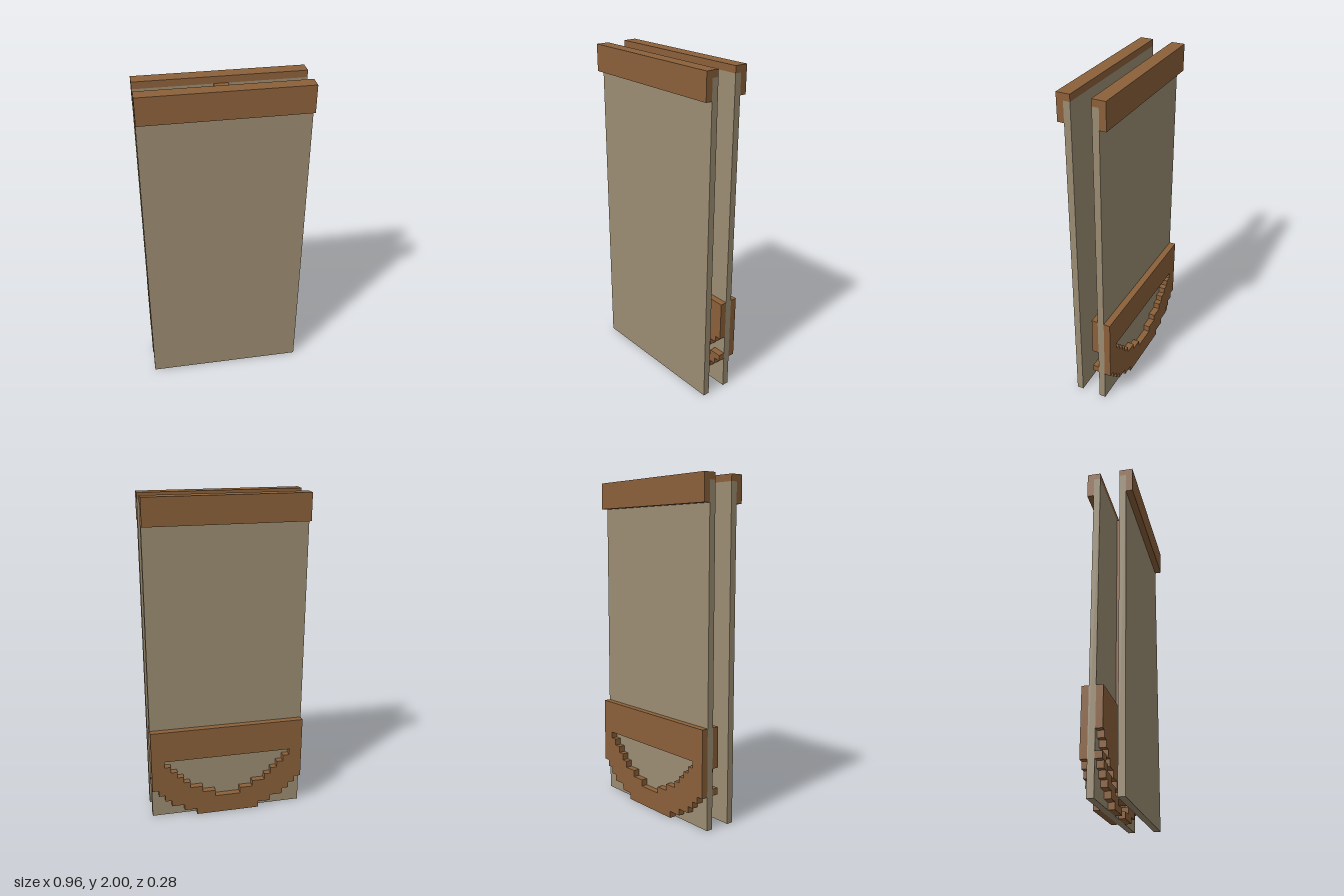
import * as THREE from 'three';

const U = 0.04; // one step of the blocky grid

export function createModel() {
  const group = new THREE.Group();
  const wood = new THREE.MeshStandardMaterial({ color: 0x8b603a });
  wood.name = 'brown wood';
  const cloth = new THREE.MeshStandardMaterial({ color: 0x9b8c72 });
  cloth.name = 'grey beige panel';

  function add(name, geometry, material) {
    const mesh = new THREE.Mesh(geometry, material);
    mesh.name = name;
    group.add(mesh);
  }

  function box(name, material, x0, x1, y0, y1, z0, z1) {
    const g = new THREE.BoxGeometry(x1 - x0, y1 - y0, z1 - z0);
    g.translate((x0 + x1) / 2, (y0 + y1) / 2, (z0 + z1) / 2);
    add(name, g, material);
  }

  // Staircase edge going up; each row gives its half width in grid steps
  function stairs(halfWidths, firstRow) {
    return halfWidths.flatMap((w, i) => [
      new THREE.Vector2(w * U, (firstRow + i) * U),
      new THREE.Vector2(w * U, (firstRow + i + 1) * U),
    ]);
  }
  const flip = (points) => points.map((p) => new THREE.Vector2(-p.x, p.y)).reverse();
  const symmetric = (edge) => [...edge, ...flip(edge)];

  function plate(name, shapes, z0, z1) {
    const g = new THREE.ExtrudeGeometry(shapes, { depth: z1 - z0, bevelEnabled: false });
    g.translate(0, 0, z0);
    add(name, g, wood);
  }

  // Two tall panels, each with an L-shaped cap folded over its top
  for (const [name, s] of [['front', 1], ['back', -1]]) {
    const span = (a, b) => (s > 0 ? [a, b] : [-b, -a]);
    box(name + 'Panel', cloth, -0.48, 0.48, 0, 1.96, ...span(0.06, 0.1));
    box(name + 'CapFace', wood, -0.48, 0.48, 1.84, 2, ...span(0.1, 0.14));
    box(name + 'CapTop', wood, -0.48, 0.48, 1.96, 2, ...span(0.06, 0.1));
  }

  // Outer foot plate: rounded below, with a stepped bowl-shaped opening
  const outer = [5, 7, 9, 10, 11];
  const footPlate = new THREE.Shape(symmetric(stairs([...outer, ...Array(10).fill(12)], 0)));
  footPlate.holes.push(new THREE.Path(symmetric(stairs([2, 4, 6, 7, 8, 9, 10], 3))));
  plate('backFootPlate', footPlate, -0.14, -0.1);

  // Inner foot plate: a filled bowl with a separate stepped rim on each side
  const bowl = [2, 4, 6, 8, 9, 10, 11, ...Array(6).fill(12)];
  plate('innerFootBowl', new THREE.Shape(symmetric(stairs(bowl, 2))), -0.06, -0.02);
  const rim = [
    ...stairs([...outer, 12], 0),
    ...stairs([1, 3, 5, 7, 9, 10], 0).reverse(),
  ];
  plate('innerFootRim', [new THREE.Shape(rim), new THREE.Shape(flip(rim))], -0.06, -0.02);

  // Central post behind the gap
  box('centralPost', wood, -0.04, 0.04, 0.6, 1.96, -0.06, -0.02);

  return group;
}
